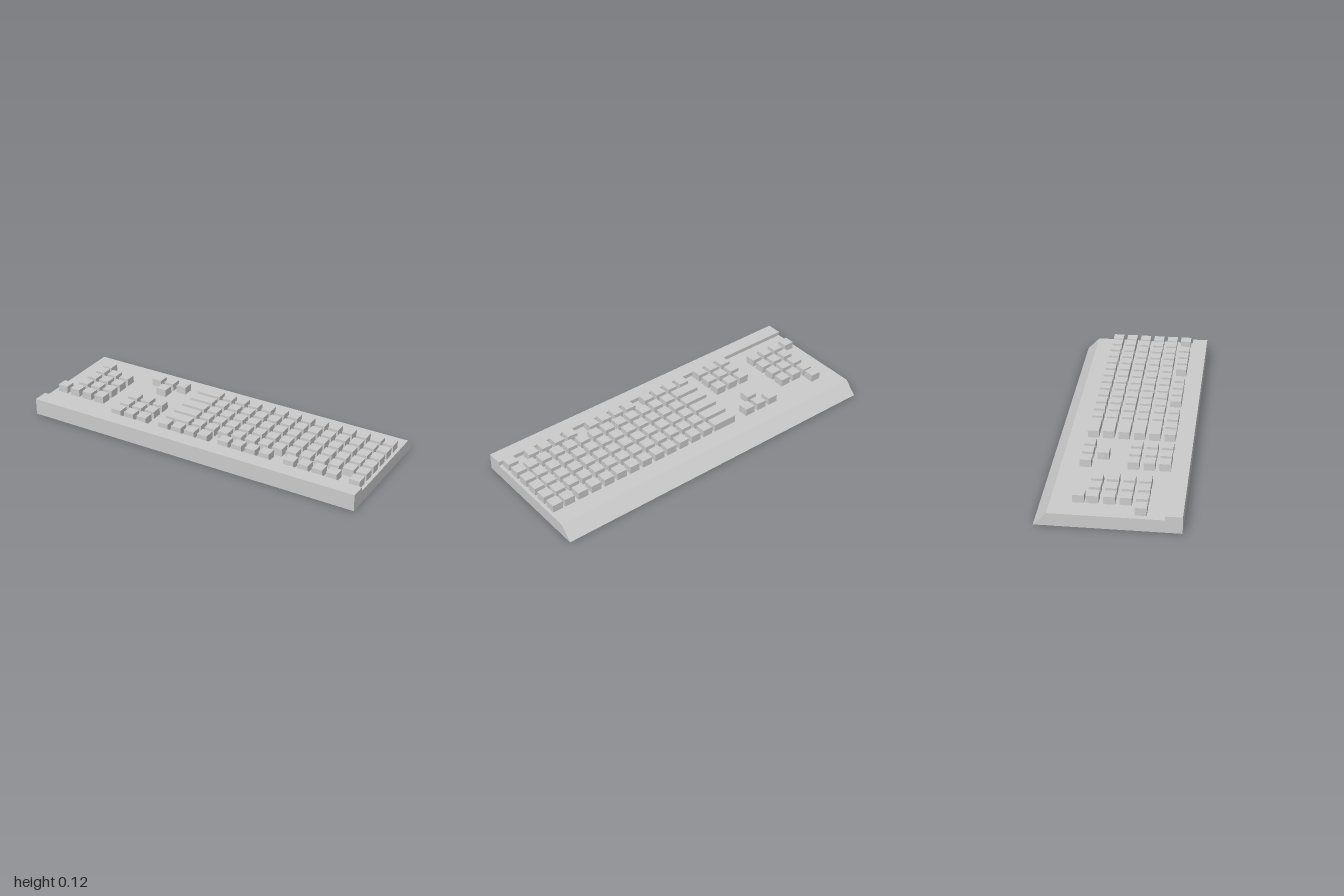
import * as THREE from 'three';

const material = new THREE.MeshStandardMaterial({ color: 0xcccccc, flatShading: true });
const DECK = 0.072, KEY_TOP = 0.115, KEY = 0.061, PITCH = 0.0833;

// z of each key row, back to front
const ROWS = [-0.1725, -0.0885, -0.005, 0.0785, 0.162, 0.2445];

// n evenly spaced column centres starting at x
const columns = (x, n) => Array.from({ length: n }, (_, i) => x + i * PITCH);

// Case: side profile (z, y) swept across the full width
function createCase() {
  const profile = [[0.373, 0], [0.373, 0.095], [0.286, 0.095], [0.286, DECK], [-0.304, DECK], [-0.373, 0]];
  const shape = new THREE.Shape(profile.map(([z, y]) => new THREE.Vector2(z, y)));
  const geometry = new THREE.ExtrudeGeometry(shape, { depth: 2, bevelEnabled: false });
  geometry.translate(0, 0, -1).rotateY(-Math.PI / 2);
  const mesh = new THREE.Mesh(geometry, material);
  mesh.name = 'case';
  return mesh;
}

function keyGroup(name, parent) {
  const group = new THREE.Group();
  group.name = name;
  parent.add(group);
  // Adds a row of equal keys at the given centres
  return (xs, z, width = KEY) => {
    for (const x of xs) {
      const key = new THREE.Mesh(new THREE.BoxGeometry(width, KEY_TOP - DECK, KEY), material);
      key.name = width > KEY ? 'wideKey' : 'key';
      key.position.set(x, (DECK + KEY_TOP) / 2, z);
      group.add(key);
    }
  };
}

export function createModel() {
  const model = new THREE.Group();
  model.name = 'keyboard';
  model.add(createCase());

  // Main block: five full rows, each with a wide key at one end
  const main = keyGroup('mainKeys', model);
  for (const z of ROWS.slice(0, 5)) {
    main([-0.163], z, 0.145);
    main([...columns(-0.04, 12), 0.951], z);
  }
  // Front row in separated clusters
  main([...columns(-0.205, 4), ...columns(0.174, 4), ...columns(0.571, 4), 0.951], ROWS[5]);

  // Navigation block and the single key behind it
  const navigation = keyGroup('navigationKeys', model);
  for (const r of [0, 3, 4, 5]) navigation(columns(-0.514, 3), ROWS[r]);
  navigation([-0.43], ROWS[1]);

  // Number pad with two outlying keys
  const pad = keyGroup('numberPadKeys', model);
  for (const r of [1, 2, 3, 4]) pad(columns(-0.857, 3), ROWS[r]);
  pad([-0.857], -0.161);
  pad([-0.941], ROWS[4]);

  return model;
}
